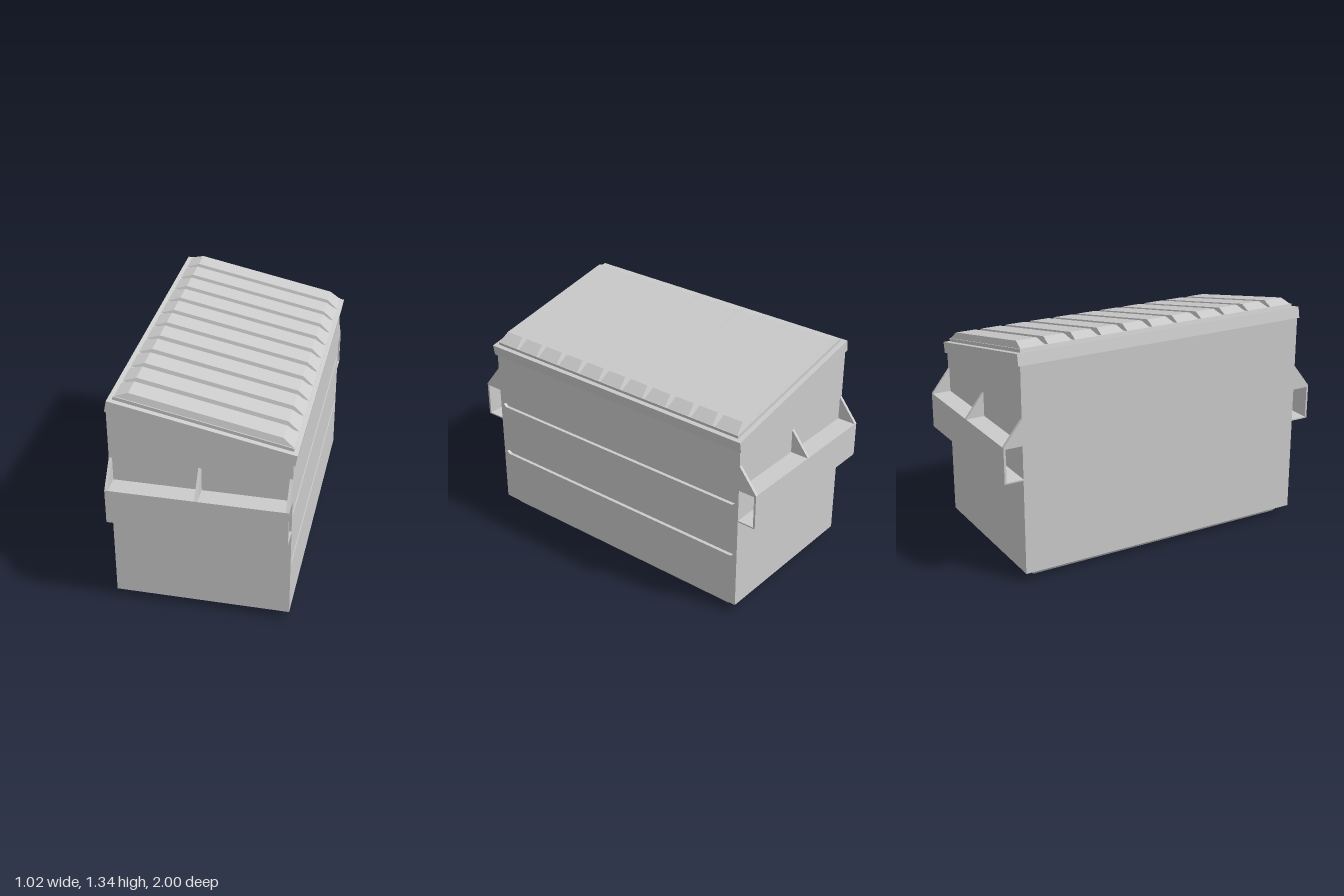
import * as THREE from 'three';

const material = new THREE.MeshStandardMaterial({ color: 0xcccccc, flatShading: true });

function addMesh(parent, name, geometry) {
  const mesh = new THREE.Mesh(geometry, material);
  mesh.name = name;
  parent.add(mesh);
  return mesh;
}

const polygon = (points) => new THREE.Shape(points.map(([x, y]) => new THREE.Vector2(x, y)));

// Extrude an x-y outline along z, centred on z = 0
function prismZ(points, length) {
  const g = new THREE.ExtrudeGeometry(polygon(points), { depth: length, bevelEnabled: false });
  return g.translate(0, 0, -length / 2);
}

// Extrude a z-y shape along x, from x0 to x1
function prismX(shape, x0, x1) {
  const g = new THREE.ExtrudeGeometry(shape, { depth: x1 - x0, bevelEnabled: false });
  return g.rotateY(-Math.PI / 2).translate(x1, 0, 0);
}

// Tapered block: lower and upper edges given as [x0, y0, x1, y1, half width in z]
function taperedBlock(lower, upper) {
  const g = new THREE.BoxGeometry(1, 1, 1);
  const p = g.attributes.position;
  for (let i = 0; i < p.count; i++) {
    const e = p.getY(i) < 0 ? lower : upper;
    const left = p.getX(i) < 0;
    p.setXYZ(i, left ? e[0] : e[2], left ? e[1] : e[3], Math.sign(p.getZ(i)) * e[4]);
  }
  g.computeVertexNormals();
  return g;
}

const LEFT = -0.505, RIGHT = 0.487, HALF = 0.89, FLOOR = 0.045, RECESS = 0.02;

export function createModel() {
  const model = new THREE.Group();
  model.name = 'dumpster';

  // Base skid and main container
  addMesh(model, 'base', taperedBlock([-0.445, 0, 0.445, 0, 0.82], [-0.475, FLOOR, 0.46, FLOOR, 0.865]));
  addMesh(model, 'body', prismZ([
    [LEFT, FLOOR], [RIGHT - RECESS, FLOOR], [RIGHT - RECESS, 1.06], [LEFT, 1.26],
  ], HALF * 2));

  // Low side wall with two long recessed grooves
  const wall = polygon([[-HALF, FLOOR], [HALF, FLOOR], [HALF, 1.055], [-HALF, 1.055]]);
  for (const y of [0.377, 0.708]) {
    wall.holes.push(polygon([
      [-0.87, y], [-0.85, y + 0.015], [0.85, y + 0.015],
      [0.87, y], [0.85, y - 0.015], [-0.85, y - 0.015],
    ]));
  }
  addMesh(model, 'groovedWall', prismX(wall, RIGHT - RECESS, RIGHT));

  // Lifting pockets with gussets, one at each end
  const channel = [
    [0.89, 0.6], [1, 0.6], [1, 0.808], [0.89, 0.808],
    [0.89, 0.798], [0.988, 0.798], [0.988, 0.608], [0.89, 0.608],
  ];
  const gusset = [[0.89, 0.808], [1, 0.808], [0.89, 0.947]];
  for (const side of [1, -1]) {
    const pocket = new THREE.Group();
    pocket.name = side > 0 ? 'frontPocket' : 'backPocket';
    const mirrored = (pts) => polygon(pts.map(([z, y]) => [z * side, y]));
    addMesh(pocket, 'channel', prismX(mirrored(channel), LEFT, RIGHT));
    for (const [x0, x1] of [[LEFT, -0.487], [-0.017, 0], [0.47, RIGHT]]) {
      addMesh(pocket, 'gusset', prismX(mirrored(gusset), x0, x1));
    }
    model.add(pocket);
  }

  // Sloping rim and lid
  addMesh(model, 'rim', prismZ([
    [-0.51, 1.24], [0.497, 1.037], [0.508, 1.101], [-0.497, 1.305],
  ], 1.804));
  const lid = new THREE.Group();
  lid.name = 'lid';
  addMesh(lid, 'lidPanel', prismZ([
    [-0.473, 1.299], [0.484, 1.105], [0.488, 1.124], [-0.468, 1.319],
  ], 1.744));
  // Row of raised ribs across the lid
  const ribCount = 11, spacing = 0.159;
  const rib = taperedBlock([-0.467, 1.317, 0.487, 1.123, 0.0715], [-0.39, 1.34, 0.425, 1.173, 0.06]);
  for (let i = 0; i < ribCount; i++) {
    addMesh(lid, 'lidRib', rib).position.z = (i - (ribCount - 1) / 2) * spacing;
  }
  model.add(lid);

  return model;
}
